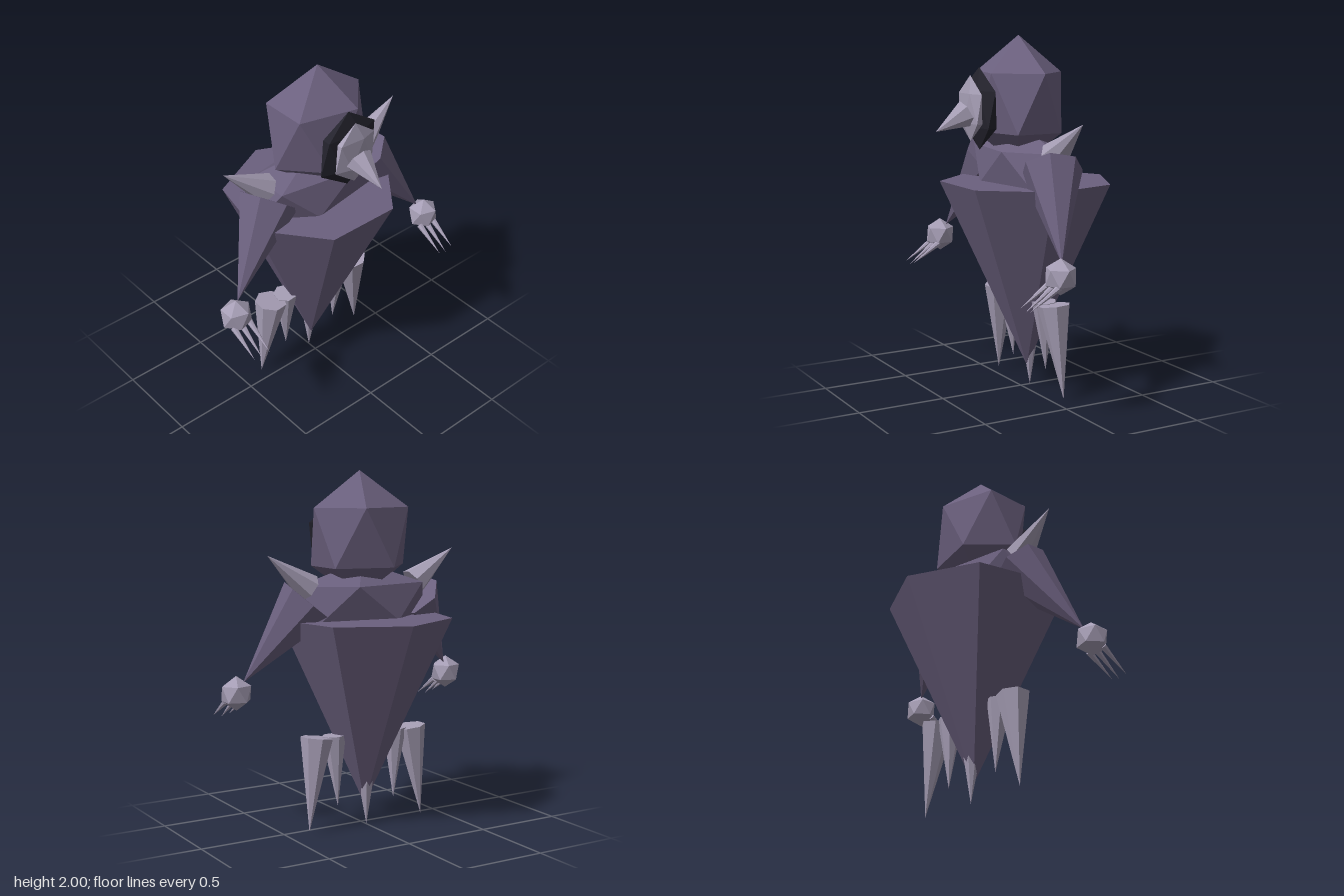
import * as THREE from 'three';
import { ConvexGeometry } from 'three/addons/geometries/ConvexGeometry.js';

const flat = (name, color) => {
  const m = new THREE.MeshStandardMaterial({ color, flatShading: true });
  m.name = name;
  return m;
};

export function createModel() {
  const model = new THREE.Group();
  const purple = flat('dusky purple', 0x6b607e);
  const pale = flat('pale lilac', 0xa69eb5);
  const black = flat('near black', 0x23222c);
  const V = (x, y, z) => new THREE.Vector3(x, y, z);

  // Unit icosahedron standing on a corner, with two staggered rings of five
  const points = [V(0, 1, 0), V(0, -1, 0)];
  for (let i = 0; i < 5; i++) {
    const a = (i * 2 * Math.PI) / 5;
    const x = 0.8944 * Math.cos(a), z = 0.8944 * Math.sin(a);
    points.push(V(x, 0.4472, z), V(-x, -0.4472, z));
  }
  const icoGeometry = new ConvexGeometry(points);

  const ico = (name, material, center, radii) => {
    const mesh = new THREE.Mesh(icoGeometry, material);
    mesh.name = name;
    mesh.position.set(...center);
    mesh.scale.set(...radii);
    model.add(mesh);
  };

  // Seven-sided spike from the middle of its base to its tip
  const spike = (name, material, base, tip, radius, twist = 0, sides = 7) => {
    const from = V(...base), to = V(...tip);
    const axis = to.clone().sub(from);
    const geometry = new THREE.ConeGeometry(radius, axis.length(), sides);
    geometry.rotateY(twist);
    const mesh = new THREE.Mesh(geometry, material);
    mesh.name = name;
    mesh.position.copy(from).add(to).multiplyScalar(0.5);
    mesh.quaternion.setFromUnitVectors(V(0, 1, 0), axis.normalize());
    model.add(mesh);
  };

  // Head, shoulders and tapering body
  ico('head', purple, [0, 1.635, 0.015], [0.325, 0.365, 0.258]);
  ico('shoulders', purple, [0, 1.277, -0.003], [0.46, 0.22, 0.23]);
  spike('body', purple, [0, 1.19, -0.04], [0, 0.115, -0.04], 0.49, Math.PI);

  // Face and beak
  ico('faceRim', black, [0, 1.605, 0.26], [0.207, 0.225, 0.047]);
  ico('facePlate', pale, [0, 1.608, 0.315], [0.148, 0.18, 0.03]);
  spike('beak', pale, [0, 1.58, 0.345], [0, 1.49, 0.525], 0.078, Math.PI);

  // Tail crystal under the body
  spike('tailCrystal', pale, [0, 0.54, -0.05], [0, 0, -0.06], 0.095, Math.PI);

  for (const s of [1, -1]) {
    const side = s > 0 ? 'left' : 'right';
    // Arm, shoulder spike and hand
    spike(side + 'Arm', purple, [s * 0.335, 1.29, 0], [s * 0.67, 0.85, 0.14], 0.17);
    spike(side + 'ShoulderSpike', pale, [s * 0.345, 1.365, -0.01], [s * 0.6, 1.553, -0.028], 0.083);
    ico(side + 'Hand', pale, [s * 0.7, 0.79, 0.165], [0.095, 0.097, 0.09]);
    // Three claws
    for (const i of [-1, 0, 1]) {
      const x = s * 0.695 + i * 0.05;
      spike(side + 'Claw', pale, [x, 0.745, 0.2], [x, i ? 0.635 : 0.622, 0.375], 0.019);
    }
    // Hanging crystals beside the body
    spike(side + 'OuterCrystal', pale, [s * 0.307, 0.535, -0.035], [s * 0.372, 0.01, -0.06], 0.093, Math.PI);
    spike(side + 'InnerCrystal', pale, [s * 0.2, 0.535, -0.035], [s * 0.185, 0.13, -0.055], 0.07, Math.PI);
  }
  return model;
}
